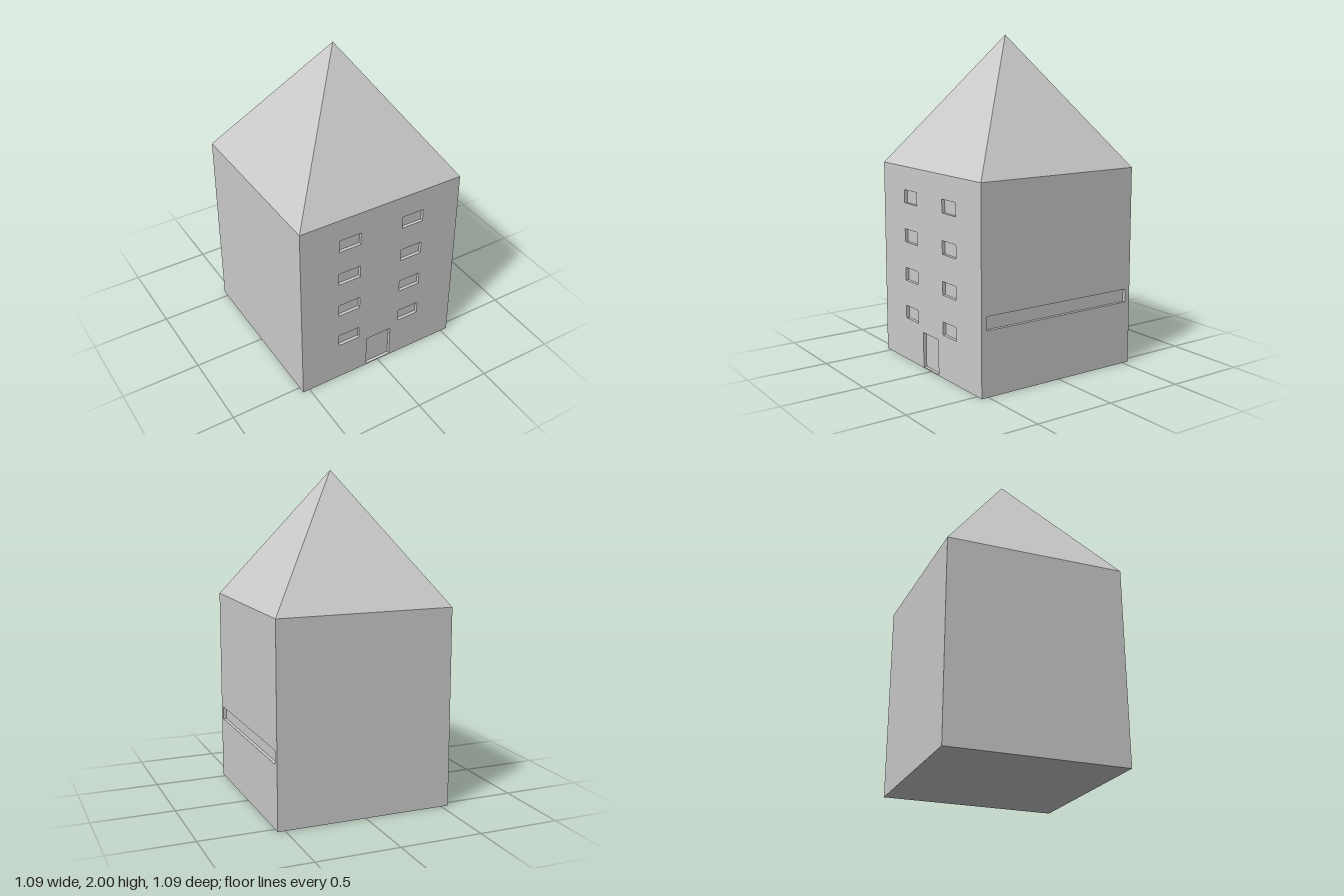
import * as THREE from 'three';

const HALF = 0.545;   // half width of the tower
const SLAB = 0.006;   // thin floor and eave slabs
const TOP = 1.215;    // foot of the roof
const DEPTH = 0.02;   // depth of the recesses

export function createModel() {
  const group = new THREE.Group();
  const material = new THREE.MeshStandardMaterial({ color: 0xcccccc, flatShading: true });

  const add = (name, geometry) => {
    const mesh = new THREE.Mesh(geometry, material);
    mesh.name = name;
    group.add(mesh);
    return mesh;
  };
  const box = (name, x0, x1, y0, y1, z0, z1) =>
    add(name, new THREE.BoxGeometry(x1 - x0, y1 - y0, z1 - z0))
      .position.set((x0 + x1) / 2, (y0 + y1) / 2, (z0 + z1) / 2);
  const rectPath = (x0, x1, y0, y1) => new THREE.Path([
    new THREE.Vector2(x0, y0), new THREE.Vector2(x0, y1),
    new THREE.Vector2(x1, y1), new THREE.Vector2(x1, y0),
  ]);
  const panel = (name, shape) =>
    add(name, new THREE.ExtrudeGeometry(shape, { depth: DEPTH, bevelEnabled: false }));

  const inner = HALF - DEPTH;
  const y0 = SLAB, y1 = TOP - SLAB;

  // Solid core, floor and eave
  box('core', -HALF, inner, y0, y1, -HALF, inner);
  box('floorSlab', -HALF, HALF, 0, y0, -HALF, HALF);
  box('eaveSlab', -HALF, HALF, y1, TOP, -HALF, HALF);

  // Front wall: doorway notch and four rows of paired windows
  const door = 0.087, doorTop = 0.222;
  const front = new THREE.Shape([
    [-HALF, y0], [-door, y0], [-door, doorTop], [door, doorTop],
    [door, y0], [HALF, y0], [HALF, y1], [-HALF, y1],
  ].map(([x, y]) => new THREE.Vector2(x, y)));
  for (let row = 0; row < 4; row++) {
    const y = 0.265 + row * 0.242;
    for (const x of [-0.217, 0.215]) front.holes.push(rectPath(x - 0.073, x + 0.073, y, y + 0.081));
  }
  panel('frontWall', front).position.z = inner;

  // Side wall with one long slot
  const side = new THREE.Shape([
    [-inner, y0], [HALF, y0], [HALF, y1], [-inner, y1],
  ].map(([x, y]) => new THREE.Vector2(x, y)));
  side.holes.push(rectPath(-0.511, 0.511, 0.387, 0.468));
  const sideWall = panel('leftWall', side);
  sideWall.rotation.y = Math.PI / 2;
  sideWall.position.x = inner;

  // Pyramid roof
  const roof = add('roof', new THREE.ConeGeometry(HALF * Math.SQRT2, 2 - TOP, 4));
  roof.rotation.y = Math.PI / 4;
  roof.position.y = (2 + TOP) / 2;

  return group;
}
